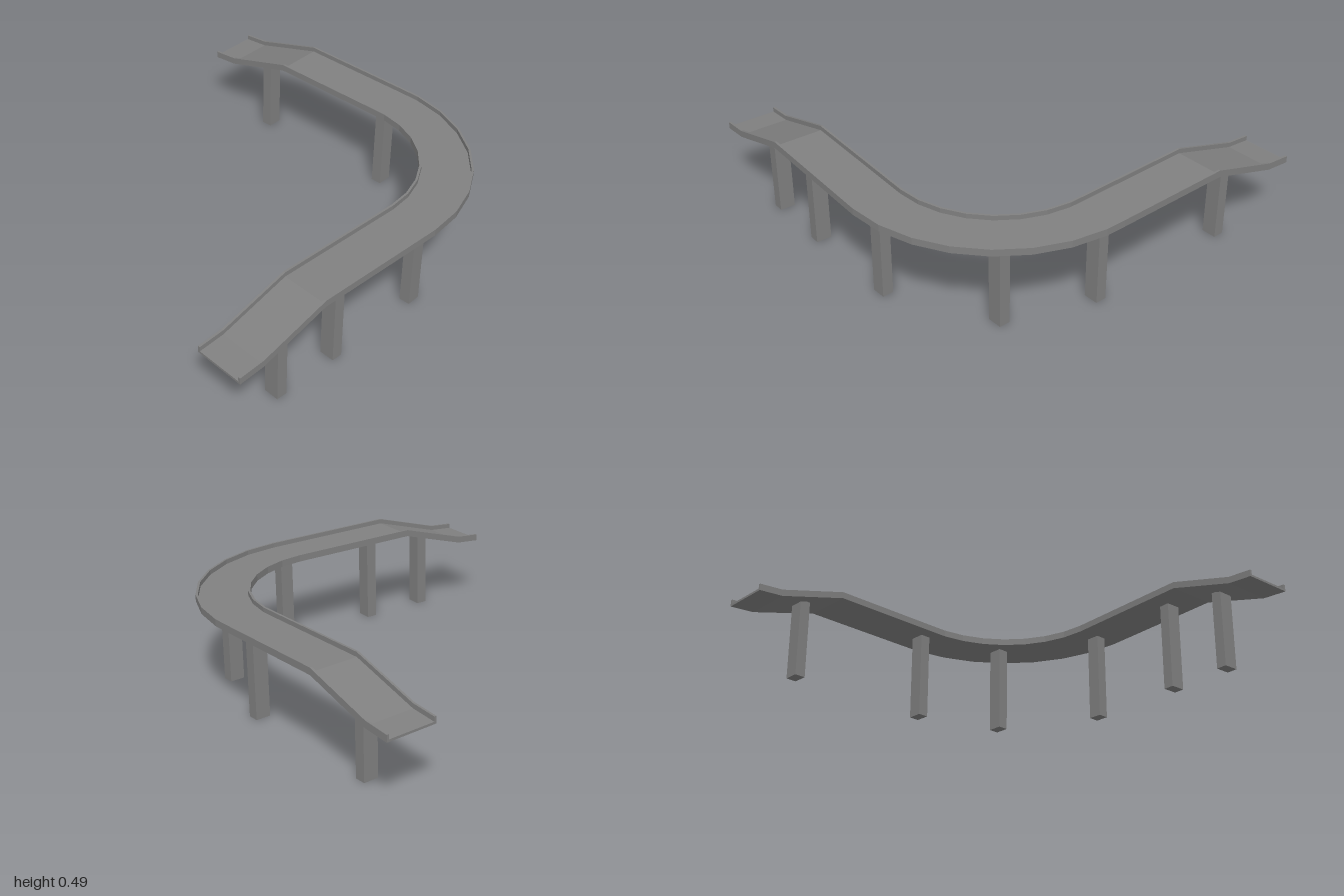
import * as THREE from 'three';

const DEG = Math.PI / 180;
const HALF = 0.128, WALL = 0.011, DECK = 0.011, RIM = 0.034;

// Stations along the track: centre x, underside y, centre z, heading (0 = +x, 90 = +z)
function trackStations() {
  const s = [
    [-0.96, 0.335, -0.868, 0],
    [-0.83, 0.347, -0.868, 0],
    [-0.47, 0.455, -0.868, 0],
    [0.13, 0.455, -0.868, 0],
  ];
  for (let i = 0; i <= 7; i++) {
    const h = 4.5 + i * 12.6;
    s.push([0.172 + 0.654 * Math.sin(h * DEG), 0.455, -0.215 - 0.654 * Math.cos(h * DEG), h]);
  }
  for (const [z, y] of [[0.5, 0.455], [0.855, 0.347], [0.985, 0.335]]) {
    s.push([0.826 - (z + 0.185) * 0.0635, y, z, 93.7]);
  }
  return s;
}

// U-shaped section swept through the stations, with capped ends
function trackGeometry(stations) {
  const a = HALF, b = HALF - WALL;
  const section = [[-a, 0], [a, 0], [a, RIM], [b, RIM], [b, DECK], [-b, DECK], [-b, RIM], [-a, RIM]]
    .map(([u, v]) => new THREE.Vector2(u, v));
  const n = section.length, pos = [], idx = [];
  for (const [x, y, z, h] of stations) {
    for (const p of section) {
      pos.push(x + p.x * Math.sin(h * DEG), y + p.y, z - p.x * Math.cos(h * DEG));
    }
  }
  for (let i = 0; i < stations.length - 1; i++) {
    for (let j = 0; j < n; j++) {
      const p = i * n + j, q = i * n + (j + 1) % n;
      idx.push(p, q, q + n, p, q + n, p + n);
    }
  }
  const last = (stations.length - 1) * n;
  for (const [p, q, r] of THREE.ShapeUtils.triangulateShape(section, [])) {
    idx.push(p, r, q, last + p, last + q, last + r);
  }
  const g = new THREE.BufferGeometry();
  g.setAttribute('position', new THREE.Float32BufferAttribute(pos, 3));
  g.setIndex(idx);
  const flat = g.toNonIndexed();
  flat.computeVertexNormals();
  return flat;
}

export function createModel() {
  const model = new THREE.Group();
  model.name = 'elevatedTrack';
  const grey = new THREE.MeshStandardMaterial({ color: 0x808080 });
  grey.name = 'concrete grey';

  const track = new THREE.Mesh(trackGeometry(trackStations()), grey);
  track.name = 'trackDeck';
  model.add(track);

  // Pillars: x, z, top height, x width, z width, turn
  const pillars = [
    [-0.648, -0.848, 0.404, 0.055, 0.075, 0],
    [0.137, -0.848, 0.458, 0.055, 0.075, 0],
    [0.573, -0.698, 0.458, 0.055, 0.075, 0],
    [0.832, -0.2, 0.458, 0.055, 0.07, 0],
    [0.808, 0.335, 0.458, 0.077, 0.055, -3.7],
    [0.79, 0.68, 0.403, 0.077, 0.055, -3.7],
  ];
  for (const [x, z, top, w, d, turn] of pillars) {
    const pillar = new THREE.Mesh(new THREE.BoxGeometry(w, top, d), grey);
    pillar.position.set(x, top / 2, z);
    pillar.rotation.y = turn * DEG;
    pillar.name = 'supportPillar';
    model.add(pillar);
  }
  return model;
}
